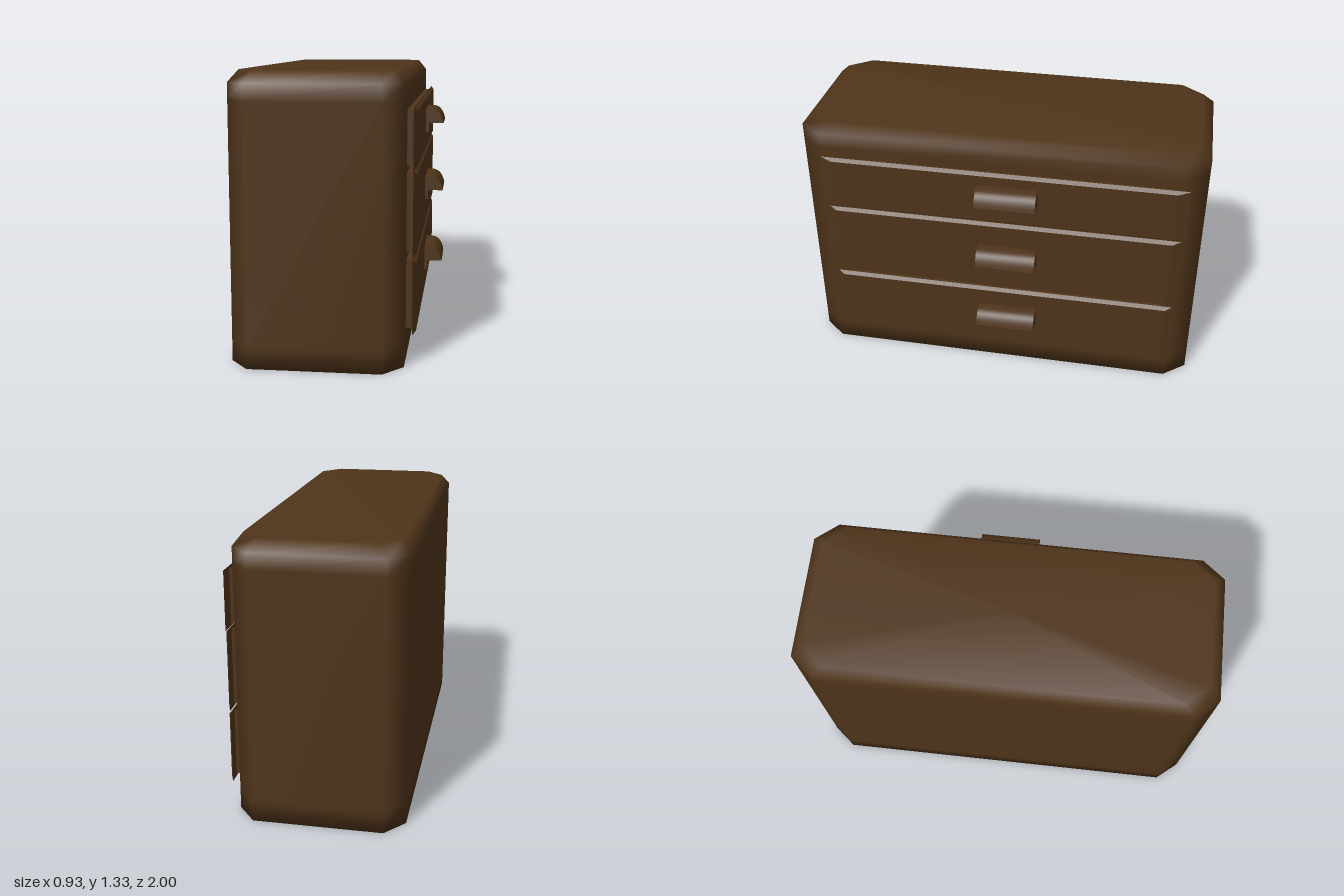
import * as THREE from 'three';
import { toCreasedNormals } from 'three/addons/utils/BufferGeometryUtils.js';

const wood = new THREE.MeshStandardMaterial({ color: 0x4f341a });

function part(name, geometry) {
  const mesh = new THREE.Mesh(geometry, wood);
  mesh.name = name;
  return mesh;
}

// Cabinet: stacked chamfered rectangles, smooth shaded, with the top edge bevelled inward
function cabinetGeometry() {
  const cx = -0.07, hx = 0.395, hz = 1;
  const levels = [[0, 0, 0], [0.1, 0, 0], [1.2, 0, 0], [1.275, 0, 0], [1.33, 0.04, 0.055]];
  const position = [], index = [];
  for (const [y, ix, iz] of levels) {
    const X = hx - ix, Z = hz - iz, a = X - 0.09, b = Z - 0.11;
    const ring = [[X, b], [X, -b], [a, -Z], [-a, -Z], [-X, -b], [-X, b], [-a, Z], [a, Z]];
    for (const [x, z] of ring) position.push(cx + x, y, z);
  }
  const n = 8, last = (levels.length - 1) * n;
  const bottom = position.length / 3, top = bottom + 1;
  position.push(cx, 0, 0, cx, 1.33, 0);
  for (let j = 0; j < n; j++) {
    const k = (j + 1) % n;
    for (let r = 0; r < last; r += n) {
      index.push(r + j, r + k, r + n + k, r + j, r + n + k, r + n + j);
    }
    index.push(bottom, k, j, top, last + j, last + k);
  }
  const g = new THREE.BufferGeometry();
  g.setAttribute('position', new THREE.Float32BufferAttribute(position, 3));
  g.setIndex(index);
  g.computeVertexNormals();
  return g;
}

// Block along x whose back and front rectangles [y0, y1, z0, z1] may differ
function taperedBlock(x0, x1, back, front) {
  const g = new THREE.BoxGeometry(1, 1, 1);
  const p = g.attributes.position;
  for (let i = 0; i < p.count; i++) {
    const atFront = p.getX(i) > 0;
    const [y0, y1, z0, z1] = atFront ? front : back;
    p.setXYZ(i, atFront ? x1 : x0, p.getY(i) > 0 ? y1 : y0, p.getZ(i) > 0 ? z1 : z0);
  }
  g.computeVertexNormals();
  return g;
}

// Cup handle: quarter-round hood over a short backplate, as one profile
function handleGeometry() {
  const s = new THREE.Shape();
  s.moveTo(0.365, -0.12);
  s.lineTo(0.39, -0.12);
  s.lineTo(0.39, -0.073);
  s.lineTo(0.465, -0.073);
  s.bezierCurveTo(0.455, -0.025, 0.435, 0, 0.395, 0);
  s.lineTo(0.365, 0);
  s.closePath();
  const g = new THREE.ExtrudeGeometry(s, { depth: 0.295, bevelEnabled: false, curveSegments: 8 });
  g.translate(0, 0, -0.205);
  return toCreasedNormals(g, 0.7);
}

export function createModel() {
  const group = new THREE.Group();
  group.name = 'chestOfDrawers';
  group.add(part('cabinet', cabinetGeometry()));

  // Drawers, top to bottom: lip bounds and handle top
  const drawers = [
    { name: 'topDrawer', y0: 0.89, y1: 1.17, z0: -0.92, z1: 0.875, handle: 1.105 },
    { name: 'middleDrawer', y0: 0.497, y1: 0.885, z0: -0.9, z1: 0.855, handle: 0.755 },
    { name: 'bottomDrawer', y0: 0.137, y1: 0.482, z0: -0.895, z1: 0.85, handle: 0.38 },
  ];
  const handle = handleGeometry();
  for (const d of drawers) {
    const drawer = new THREE.Group();
    drawer.name = d.name;
    const lip = [d.y0, d.y1, d.z0, d.z1];
    const face = [d.y0 + 0.013, d.y1 - 0.015, -0.86, 0.82];
    const body = [d.y0 + 0.013, d.y1 - 0.015, -0.835, 0.785];
    drawer.add(part('drawerBody', taperedBlock(0.3, 0.36, body, body)));
    drawer.add(part('drawerFront', taperedBlock(0.358, 0.374, lip, face)));
    const pull = part('drawerHandle', handle);
    pull.position.y = d.handle;
    drawer.add(pull);
    group.add(drawer);
  }
  return group;
}
